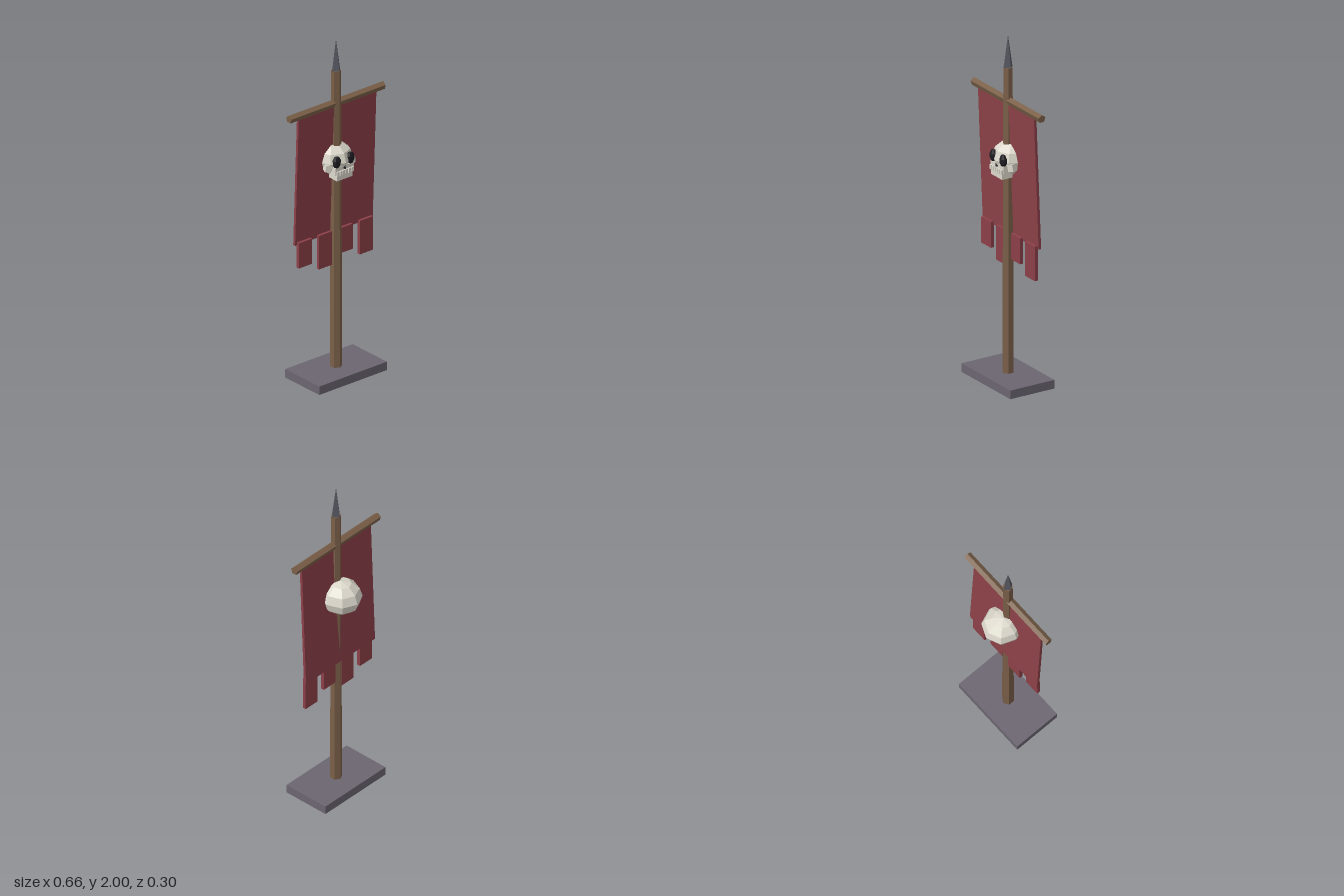
import * as THREE from 'three';

const mat = (color) => new THREE.MeshStandardMaterial({ color, flatShading: true });

export function createModel() {
  const group = new THREE.Group();
  const stone = mat(0x6b6570), wood = mat(0x7a5f48), cloth = mat(0x8c4048);
  const iron = mat(0x55565f), bone = mat(0xdcd8cc), dark = mat(0x1c1c22);
  const Z = 0.006; // depth of the pole's axis

  function add(parent, name, geometry, material, x, y, z) {
    const mesh = new THREE.Mesh(geometry, material);
    mesh.name = name;
    mesh.position.set(x, y, z);
    parent.add(mesh);
    return mesh;
  }
  const box = (w, h, d) => new THREE.BoxGeometry(w, h, d);

  // Base, pole, spike and crossbar
  add(group, 'base', box(0.476, 0.05, 0.284), stone, 0, 0.025, Z);
  add(group, 'pole', new THREE.CylinderGeometry(0.028, 0.034, 1.77, 6), wood, 0, 0.93, Z);
  add(group, 'spike', new THREE.ConeGeometry(0.029, 0.19, 4), iron, 0, 1.905, Z);
  const bar = new THREE.CylinderGeometry(0.023, 0.023, 0.664, 5, 1, false, Math.PI / 2);
  add(group, 'crossbar', bar.rotateZ(Math.PI / 2), wood, 0, 1.622, Z);

  // Cloth leaning slightly back towards its lower edge
  const banner = add(group, 'banner', box(0.547, 0.765, 0.016), cloth, 0, 1.225, -0.004);
  banner.rotation.x = 0.04;

  // Tattered strips, alternating in length
  [0.71, 0.66, 0.71, 0.66].forEach((bottom, i) => {
    const top = 0.86;
    add(group, 'bannerStrip', box(0.094, top - bottom, 0.02), cloth,
      -0.215 + i * 0.1433, (top + bottom) / 2, -0.004);
  });

  // Skull
  const skull = new THREE.Group();
  skull.name = 'skull';
  group.add(skull);
  add(skull, 'cranium', new THREE.SphereGeometry(1, 8, 6), bone, 0, 1.29, -0.03)
    .scale.set(0.113, 0.1, 0.12);
  add(skull, 'upperJaw', box(0.13, 0.045, 0.07), bone, 0, 1.25, 0.042);
  add(skull, 'lowerJaw', box(0.108, 0.045, 0.066), bone, 0, 1.215, 0.046);
  const nose = add(skull, 'noseHole', new THREE.ConeGeometry(0.012, 0.045, 3), dark, 0, 1.277, 0.08);
  nose.scale.z = 0.7;
  for (const s of [-1, 1]) {
    add(skull, 'eyeSocket', new THREE.SphereGeometry(1, 7, 5), dark, s * 0.048, 1.3, 0.068)
      .scale.set(0.027, 0.037, 0.019);
    const cheek = add(skull, 'cheekbone', box(0.034, 0.04, 0.045), bone, s * 0.08, 1.265, 0.03);
    cheek.rotation.set(0, s * 0.4, s * 0.2);
  }

  // Row of teeth
  for (let i = 0; i < 6; i++) {
    add(skull, 'tooth', box(0.015, 0.026, 0.012), bone, (i - 2.5) * 0.02, 1.236, 0.08);
  }
  return group;
}
